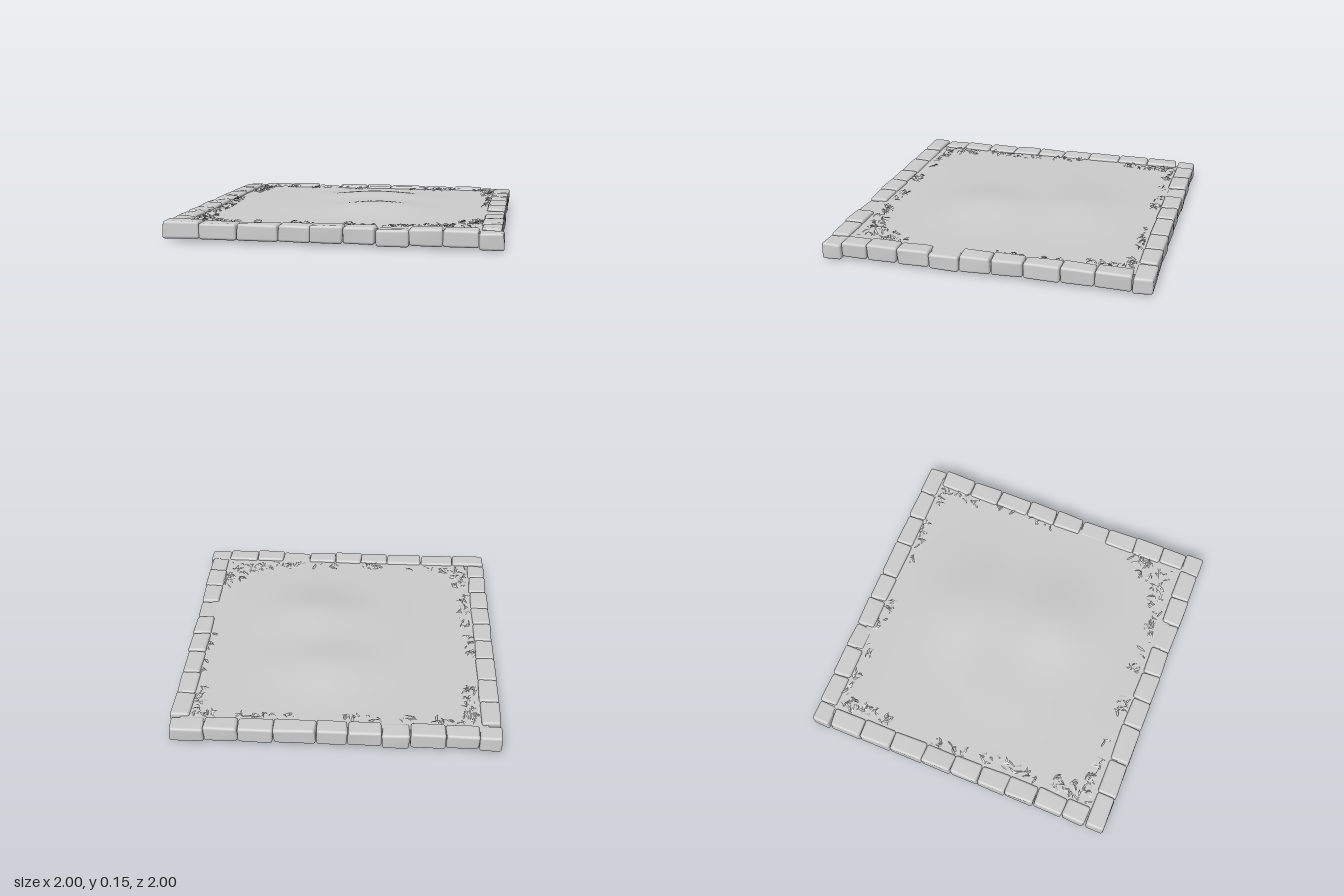
import * as THREE from 'three';
import { mergeGeometries, mergeVertices } from 'three/addons/utils/BufferGeometryUtils.js';
import { RoundedBoxGeometry } from 'three/addons/geometries/RoundedBoxGeometry.js';

// Small seeded generator for the hand-laid irregularity
let seed = 7;
function rand(a = 0, b = 1) {
  seed = (seed * 16807) % 2147483647;
  return a + (b - a) * (seed / 2147483647);
}

const stoneMaterial = new THREE.MeshStandardMaterial({ color: 0xcccccc });
const sheetMaterial = new THREE.MeshStandardMaterial({ color: 0xcccccc, side: THREE.DoubleSide });

// Worn block: a rounded box whose eight corners are pushed slightly out of place
function stoneGeometry(w, h, d) {
  let g = new RoundedBoxGeometry(w, h, d, 3, 0.016);
  g.deleteAttribute('normal');
  g.deleteAttribute('uv');
  g = mergeVertices(g, 1e-5);
  const corners = Array.from({ length: 8 }, () =>
    new THREE.Vector3(rand(-0.004, 0.004), rand(-0.004, 0.003), rand(-0.004, 0.004)));
  const p = g.attributes.position;
  for (let i = 0; i < p.count; i++) {
    const c = corners[(p.getX(i) > 0 ? 1 : 0) + (p.getY(i) > 0 ? 2 : 0) + (p.getZ(i) > 0 ? 4 : 0)];
    p.setXYZ(i, p.getX(i) + c.x, p.getY(i) + c.y, p.getZ(i) + c.z);
  }
  g.computeVertexNormals();
  return g;
}

// One side of the kerb: cuts along the run, centre line drifting from c0 to c1
function kerbRow(name, cuts, alongX, c0, c1, thickness, lowStones) {
  const row = new THREE.Group();
  row.name = name;
  for (let i = 0; i < cuts.length - 1; i++) {
    const length = cuts[i + 1] - cuts[i] - 0.003;
    const mid = (cuts[i] + cuts[i + 1]) / 2;
    const line = THREE.MathUtils.lerp(c0, c1, i / (cuts.length - 2));
    const t = thickness + rand(-0.003, 0.003);
    const low = lowStones.includes(i);
    const stone = new THREE.Mesh(
      alongX ? stoneGeometry(length, 0.1, t) : stoneGeometry(t, 0.1, length), stoneMaterial);
    stone.name = 'kerbStone' + (i + 1);
    const y = low ? 0.058 : 0.07 + rand(-0.002, 0.002);
    if (alongX) stone.position.set(mid, y, line);
    else stone.position.set(line, y, mid);
    stone.rotation.y = rand(-0.015, 0.015);
    row.add(stone);
  }
  return row;
}

// Earth height: a broad low mound, flat near the kerb
const bump = (x, z, cx, cz, rx, rz) => Math.exp(-(((x - cx) / rx) ** 2) - ((z - cz) / rz) ** 2);
function groundHeight(x, z) {
  return 0.103 + 0.05 * bump(x, z, 0.17, 0.2, 0.3, 0.27)
    + 0.044 * bump(x, z, 0.08, -0.36, 0.33, 0.25)
    + 0.012 * bump(x, z, -0.35, 0.05, 0.25, 0.4);
}

function makeGround() {
  const g = new THREE.PlaneGeometry(1.82, 1.84, 48, 48).rotateX(-Math.PI / 2);
  const p = g.attributes.position;
  for (let i = 0; i < p.count; i++) {
    p.setX(i, p.getX(i) - 0.01);
    p.setY(i, groundHeight(p.getX(i), p.getZ(i)));
  }
  g.computeVertexNormals();
  const ground = new THREE.Mesh(g, sheetMaterial);
  ground.name = 'ground';
  return ground;
}

// Pointed blade, arched along its length and lying close to the soil
function bladeGeometry(x, z) {
  const length = rand(0.03, 0.065), width = rand(0.006, 0.011), lift = rand(0.008, 0.02);
  const g = new THREE.PlaneGeometry(1, 1, 4, 1).rotateX(-Math.PI / 2);
  const p = g.attributes.position;
  for (let i = 0; i < p.count; i++) {
    const t = p.getX(i) + 0.5;
    const half = width * (0.08 + 0.92 * Math.sin(Math.PI * Math.min(1, 0.12 + t * 0.88)));
    p.setXYZ(i, (t - 0.5) * length, lift * Math.sin(t * 2.4) - 0.004,
      p.getZ(i) * half * 2 * 0.7 + 0.01 * t * t);
  }
  g.rotateX(rand(-0.7, 0.7));
  g.rotateY(rand(0, Math.PI * 2));
  g.translate(x, groundHeight(x, z) + 0.002, z);
  g.computeVertexNormals();
  return g;
}

// Patch bounds: x from, x to, z from, z to, number of blades
const patches = [
  [-0.85, -0.78, -0.84, -0.5, 36], [-0.84, -0.6, -0.86, -0.8, 16],
  [-0.86, -0.82, -0.22, 0.06, 16], [-0.85, -0.78, 0.06, 0.5, 26],
  [-0.84, -0.74, 0.6, 0.86, 34], [-0.74, -0.54, 0.76, 0.85, 14],
  [-0.45, -0.42, 0.79, 0.82, 2], [-0.23, -0.1, 0.8, 0.86, 9],
  [0.06, 0.25, 0.78, 0.85, 14], [0.31, 0.52, 0.79, 0.85, 20],
  [0.52, 0.72, 0.7, 0.82, 20], [0.68, 0.84, 0.6, 0.82, 22], [0.79, 0.86, 0.5, 0.66, 16],
  [0.78, 0.84, -0.78, -0.6, 16], [0.82, 0.85, -0.46, -0.05, 14],
  [0.7, 0.83, -0.87, -0.8, 14], [0.24, 0.58, -0.87, -0.83, 20],
  [-0.51, -0.4, -0.85, -0.8, 5], [-0.3, -0.07, -0.86, -0.8, 12],
];

function makeGrass() {
  const grass = new THREE.Group();
  grass.name = 'grass';
  patches.forEach(([x0, x1, z0, z1, count], i) => {
    const blades = Array.from({ length: count }, () => bladeGeometry(rand(x0, x1), rand(z0, z1)));
    const patch = new THREE.Mesh(mergeGeometries(blades), sheetMaterial);
    patch.name = 'grassPatch' + (i + 1);
    grass.add(patch);
  });
  return grass;
}

export function createModel() {
  seed = 7;
  const model = new THREE.Group();
  model.name = 'gardenBed';
  // Kerb stones on the four sides
  model.add(
    kerbRow('backKerb', [-1, -0.865, -0.67, -0.46, -0.295, -0.095, 0.09, 0.34, 0.55, 0.75, 0.955],
      true, -0.922, -0.94, 0.114, [0, 3, 9]),
    kerbRow('frontKerb', [-0.975, -0.75, -0.525, -0.28, -0.095, 0.095, 0.28, 0.47, 0.66, 0.86, 1],
      true, 0.935, 0.925, 0.118, [6, 9]),
    kerbRow('rightKerb', [-0.855, -0.65, -0.44, -0.225, -0.03, 0.155, 0.34, 0.53, 0.72, 0.87],
      false, -0.935, -0.917, 0.116, []),
    kerbRow('leftKerb', [-0.88, -0.665, -0.47, -0.25, -0.055, 0.135, 0.32, 0.515, 0.705, 0.865],
      false, 0.903, 0.922, 0.114, [5]),
  );
  model.add(makeGround(), makeGrass());
  return model;
}
